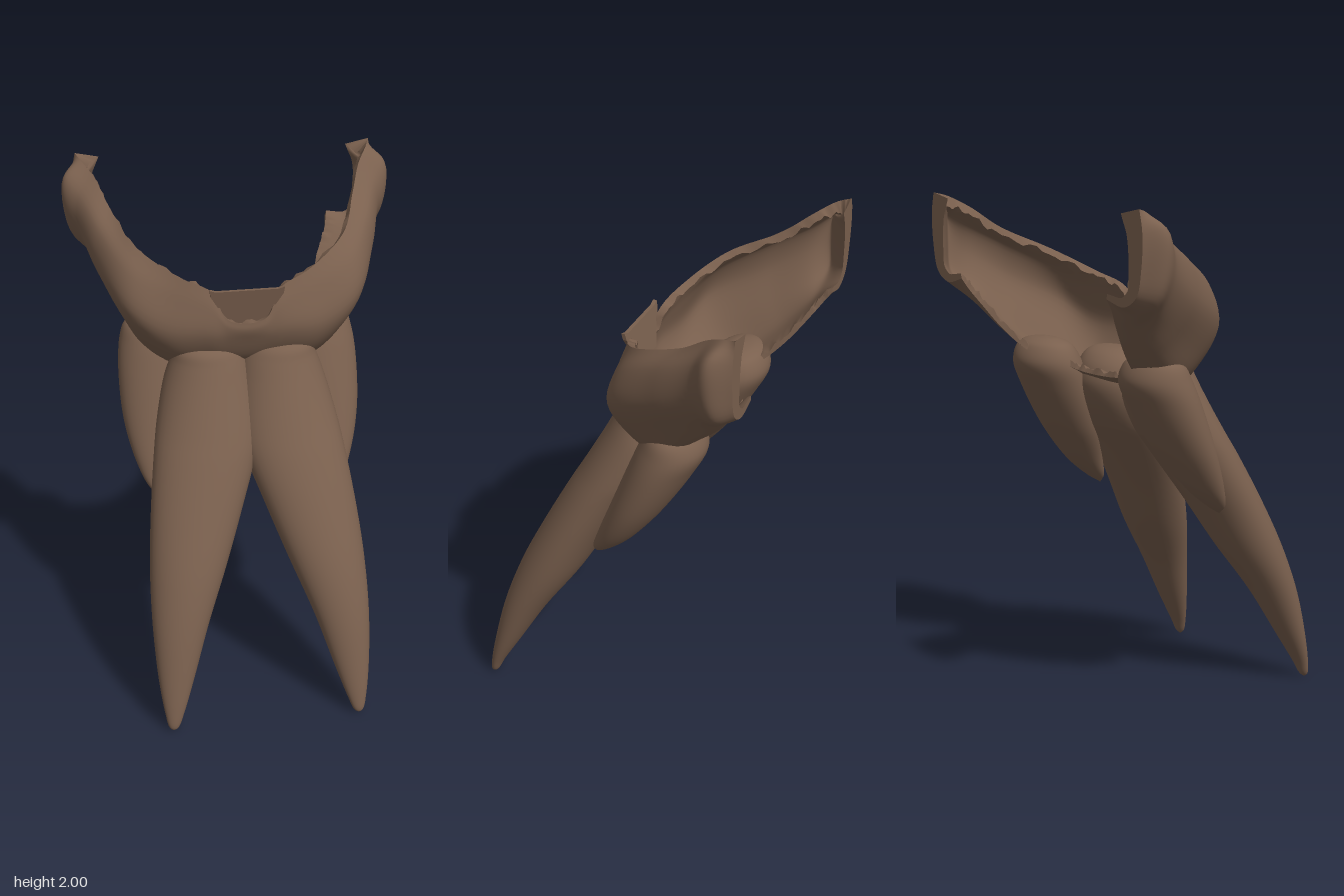
import * as THREE from 'three';
import { mergeGeometries } from 'three/addons/utils/BufferGeometryUtils.js';

const V = (a) => new THREE.Vector3(...a);
const curve = (pts) => new THREE.CatmullRomCurve3(pts);

// Sheet through a grid of points; closed joins the last column to the first
function sheet(rows, closed = false) {
  const n = rows[0].length, pos = [], idx = [];
  rows.forEach((r) => r.forEach((p) => pos.push(p.x, p.y, p.z)));
  for (let j = 0; j < rows.length - 1; j++) {
    for (let k = 0; k < (closed ? n : n - 1); k++) {
      const a = j * n + k, b = j * n + ((k + 1) % n);
      idx.push(a, b, a + n, b, b + n, a + n);
    }
  }
  const g = new THREE.BufferGeometry();
  g.setAttribute('position', new THREE.Float32BufferAttribute(pos, 3));
  g.setIndex(idx);
  g.computeVertexNormals();
  return g;
}

// Tail lofted from level ellipses: [y, xMin, xMax, zBack, zFront], top to bottom
function tail(sections, side) {
  const lo = curve(sections.map(([y, a, , c]) => V([a, y, c])));
  const hi = curve(sections.map(([y, , b, , d]) => V([b, y, d])));
  const rows = [], steps = 56, sides = 36;
  for (let j = 0; j <= steps; j++) {
    const p = lo.getPoint(j / steps), q = hi.getPoint(j / steps);
    const c = p.clone().add(q).multiplyScalar(0.5), r = q.clone().sub(p).multiplyScalar(0.5);
    rows.push(Array.from({ length: sides }, (_, k) => {
      const t = (k / sides) * Math.PI * 2;
      return V([side * c.x + Math.abs(r.x) * Math.cos(t), c.y, c.z + Math.abs(r.z) * Math.sin(t)]);
    }));
  }
  return sheet(rows, true);
}

const FRONT_TAIL = [
  [1.4, 0.16, 0.16, -0.04, -0.04], [1.392, 0.075, 0.235, -0.1, 0.02], [1.37, 0.025, 0.268, -0.14, 0.05],
  [1.33, -0.005, 0.285, -0.17, 0.07], [1.25, -0.03, 0.315, -0.185, 0.11], [1.1, -0.045, 0.355, -0.12, 0.19],
  [1.0, -0.03, 0.375, -0.05, 0.245], [0.8, 0.045, 0.405, 0.075, 0.345], [0.6, 0.125, 0.425, 0.19, 0.435],
  [0.4, 0.21, 0.43, 0.325, 0.5], [0.2, 0.28, 0.42, 0.44, 0.545], [0.07, 0.328, 0.403, 0.515, 0.568],
  [0.015, 0.352, 0.39, 0.542, 0.572], [0, 0.372, 0.372, 0.56, 0.56],
];
const REAR_TAIL = [
  [1.44, 0.31, 0.31, -0.25, -0.25], [1.43, 0.24, 0.4, -0.305, -0.195], [1.405, 0.19, 0.445, -0.34, -0.15],
  [1.34, 0.16, 0.468, -0.36, -0.11], [1.24, 0.16, 0.48, -0.315, -0.07], [1.05, 0.2, 0.473, -0.2, 0],
  [0.9, 0.27, 0.435, -0.08, 0.055], [0.82, 0.315, 0.393, 0.015, 0.08], [0.785, 0.35, 0.35, 0.07, 0.07],
];

// Collar cross-sections from near the centre to the wing end: inner lip, floor, foot, bulge, shoulder, rim
const COLLAR = [
  [[0.07, 1.32, -0.24], [0.07, 1.27, -0.1], [0.07, 1.33, -0.005], [0.07, 1.44, 0.05], [0.07, 1.49, 0.06], [0.07, 1.52, 0.055]],
  [[0.15, 1.33, -0.245], [0.14, 1.27, -0.1], [0.14, 1.33, -0.01], [0.15, 1.46, 0.055], [0.14, 1.56, 0.045], [0.135, 1.63, 0.02]],
  [[0.25, 1.36, -0.28], [0.27, 1.28, -0.12], [0.28, 1.35, -0.02], [0.3, 1.47, 0.03], [0.28, 1.6, 0.005], [0.25, 1.68, -0.02]],
  [[0.3, 1.39, -0.34], [0.38, 1.34, -0.21], [0.415, 1.42, -0.1], [0.45, 1.55, -0.04], [0.43, 1.68, -0.07], [0.405, 1.77, -0.14]],
  [[0.345, 1.47, -0.42], [0.44, 1.47, -0.36], [0.5, 1.54, -0.29], [0.55, 1.66, -0.25], [0.53, 1.79, -0.26], [0.48, 1.86, -0.33]],
  [[0.39, 1.58, -0.5], [0.48, 1.58, -0.47], [0.55, 1.63, -0.43], [0.6, 1.75, -0.4], [0.59, 1.87, -0.41], [0.525, 1.94, -0.44]],
  [[0.415, 1.64, -0.54], [0.52, 1.63, -0.52], [0.61, 1.68, -0.505], [0.648, 1.8, -0.49], [0.642, 1.93, -0.49], [0.57, 1.985, -0.515]],
  [[0.42, 1.68, -0.567], [0.51, 1.66, -0.567], [0.575, 1.7, -0.567], [0.6, 1.8, -0.567], [0.605, 1.92, -0.567], [0.59, 2, -0.567]],
];

function collar() {
  const U = 112, W = 24;
  const mirrored = COLLAR.map((s) => s.map(([x, y, z]) => [-x, y, z])).reverse();
  const full = [...mirrored, ...COLLAR];
  const lines = COLLAR[0].map((_, i) => curve(full.map((s) => V(s[i]))));
  const outer = [];
  for (let u = 0; u <= U; u++) {
    const section = curve(lines.map((l) => l.getPoint(u / U)));
    outer.push(Array.from({ length: W + 1 }, (_, w) => section.getPoint(w / W)));
  }
  // Inner wall: offset along the surface normal, thicker towards the rim of the wing ends
  const inner = outer.map((row, u) => {
    const end = Math.pow(Math.abs((2 * u) / U - 1), 10);
    return row.map((p, w) => {
      const du = outer[Math.min(u + 1, U)][w].clone().sub(outer[Math.max(u - 1, 0)][w]);
      const dw = row[Math.min(w + 1, W)].clone().sub(row[Math.max(w - 1, 0)]);
      const n = du.cross(dw);
      n.z *= 1 - end; // keeps the wing end face flat
      n.normalize();
      const q = p.clone().addScaledVector(n, -(0.02 + 0.01 * (w / W) + 0.065 * end * (w / W)));
      q.y = Math.min(q.y, 2);
      return q;
    });
  });
  // Ragged inner edges along the rim and lip
  for (let u = 3; u < U - 2; u++) {
    const jag = 0.012 * Math.sin(u * 12.99) * Math.sin(u * 4.7);
    inner[u][W].y += jag;
    inner[u][0].y += jag;
  }
  const strip = (w) => sheet(outer.map((row, u) => [row[w], inner[u][w]]));
  const end = (u) => sheet([outer[u], inner[u]]);
  return mergeGeometries([sheet(outer), sheet(inner), strip(0), strip(W), end(0), end(U)]);
}

// Small flared tab standing in the collar's front notch
function neckTab() {
  const s = new THREE.Shape();
  [[-0.07, 1.49], [0.07, 1.49], [0.105, 1.56], [0.14, 1.62], [0.143, 1.648], [0.118, 1.64], [-0.118, 1.64],
    [-0.143, 1.648], [-0.14, 1.62], [-0.105, 1.56]].forEach(([x, y], i) => (i ? s.lineTo(x, y) : s.moveTo(x, y)));
  const g = new THREE.ExtrudeGeometry(s, { depth: 0.015, bevelEnabled: false });
  const p = g.attributes.position;
  for (let i = 0; i < p.count; i++) p.setZ(i, p.getZ(i) + 0.01 + (p.getY(i) - 1.49) * 0.2);
  g.computeVertexNormals();
  return g;
}

export function createModel() {
  const group = new THREE.Group();
  const brown = new THREE.MeshStandardMaterial({ color: 0x7a604e, side: THREE.DoubleSide });
  brown.name = 'brown cloth';
  const add = (name, geometry) => {
    const m = new THREE.Mesh(geometry, brown);
    m.name = name;
    group.add(m);
  };
  add('collar', collar());
  add('neckTab', neckTab());
  for (const [label, side] of [['left', 1], ['right', -1]]) {
    add(label + 'FrontTail', tail(FRONT_TAIL, side));
    add(label + 'RearTail', tail(REAR_TAIL, side));
  }
  return group;
}
